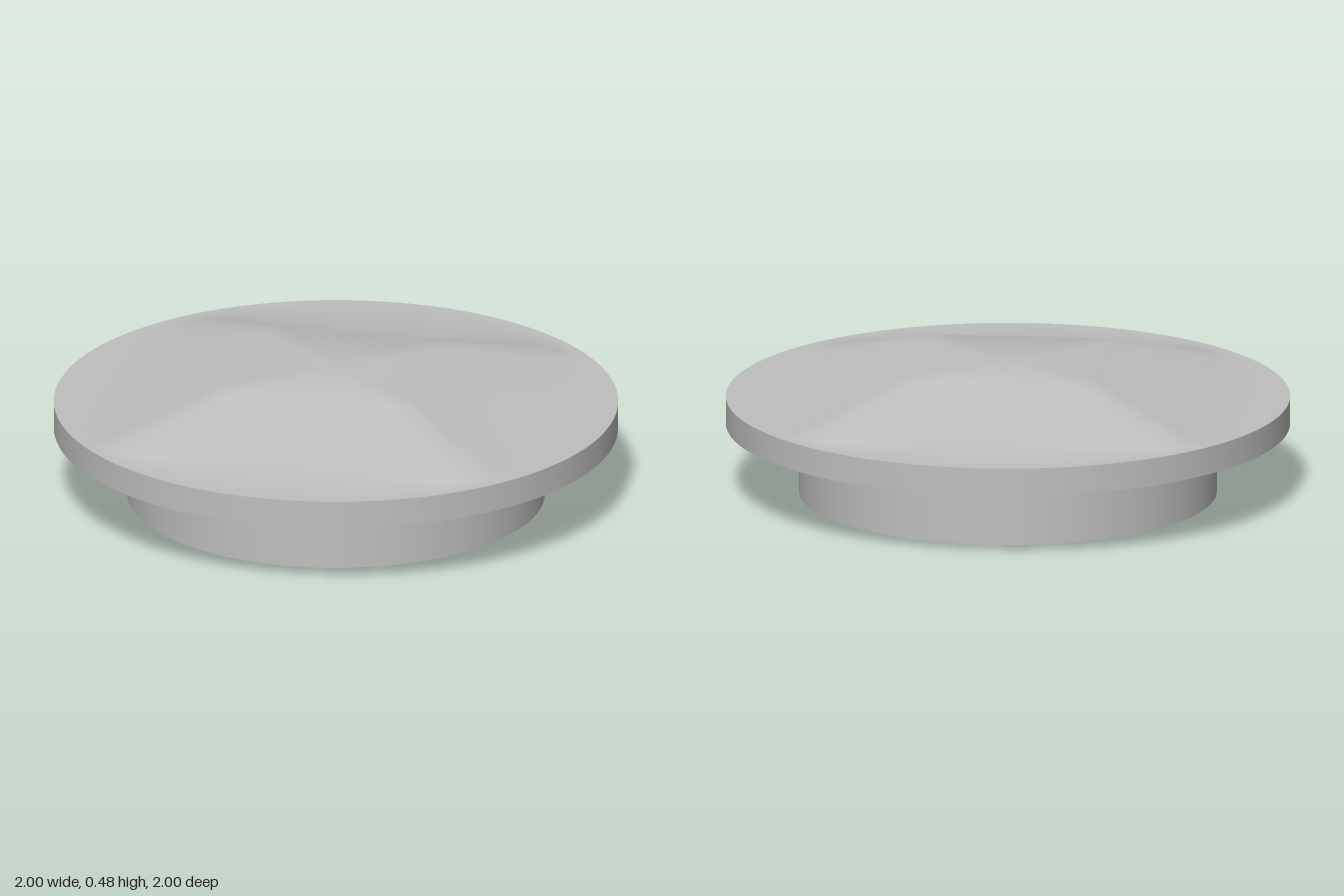
import * as THREE from 'three';
import { toCreasedNormals } from 'three/addons/utils/BufferGeometryUtils.js';

const SEGMENTS = 192;

// Distance from the centre to a unit half-width rounded square, along an angle
function roundedSquareRadius(angle, corner = 0.2) {
  let a = Math.abs(angle) % (Math.PI / 2);
  if (a > Math.PI / 4) a = Math.PI / 2 - a;
  const inner = 1 - corner;
  if (Math.tan(a) <= inner) return 1 / Math.cos(a);
  const along = inner * (Math.cos(a) + Math.sin(a));
  return along + Math.sqrt(along * along - 2 * inner * inner + corner * corner);
}

// Smooth raised top: flat rounded square, sloping sides, then the round rim
function crownGeometry() {
  const square = (half) => (a) => half * roundedSquareRadius(a);
  const rings = [
    { y: 0.48, radius: square(0.335) },
    { y: 0.35, radius: square(0.7) },
    { y: 0.35, radius: () => 1 },
  ];
  const positions = [0, 0.48, 0];
  const indices = [];
  rings.forEach(({ y, radius }, r) => {
    for (let i = 0; i < SEGMENTS; i++) {
      const a = (i / SEGMENTS) * Math.PI * 2;
      positions.push(radius(a) * Math.sin(a), y, radius(a) * Math.cos(a));
      const next = (i + 1) % SEGMENTS;
      const start = 1 + r * SEGMENTS;
      if (r === 0) {
        indices.push(0, start + i, start + next);
      } else {
        const prev = start - SEGMENTS;
        indices.push(prev + i, start + i, start + next);
        indices.push(prev + i, start + next, prev + next);
      }
    }
  });
  const geometry = new THREE.BufferGeometry();
  geometry.setAttribute('position', new THREE.Float32BufferAttribute(positions, 3));
  geometry.setIndex(indices);
  geometry.computeVertexNormals();
  return geometry;
}

// Sharp-edged turned part from a profile of [radius, height] points
function turned(profile) {
  const points = profile.map(([r, y]) => new THREE.Vector2(r, y));
  return toCreasedNormals(new THREE.LatheGeometry(points, SEGMENTS), 0.5);
}

export function createModel() {
  const group = new THREE.Group();
  group.name = 'cap';
  const grey = new THREE.MeshStandardMaterial({ color: 0xbfbfbf });
  grey.name = 'grey';

  const add = (name, geometry) => {
    const mesh = new THREE.Mesh(geometry, grey);
    mesh.name = name;
    group.add(mesh);
  };

  add('crown', crownGeometry());
  // Recess ceiling inside the collar
  add('recessCeiling', turned([[0, 0.25], [0.625, 0.25]]));
  // Hollow round collar the cap stands on
  add('collar', turned([[0.625, 0.25], [0.625, 0], [0.74, 0], [0.74, 0.25]]));
  // Flange underside and outer edge
  add('flange', turned([[0.74, 0.25], [1, 0.25], [1, 0.35]]));

  return group;
}
